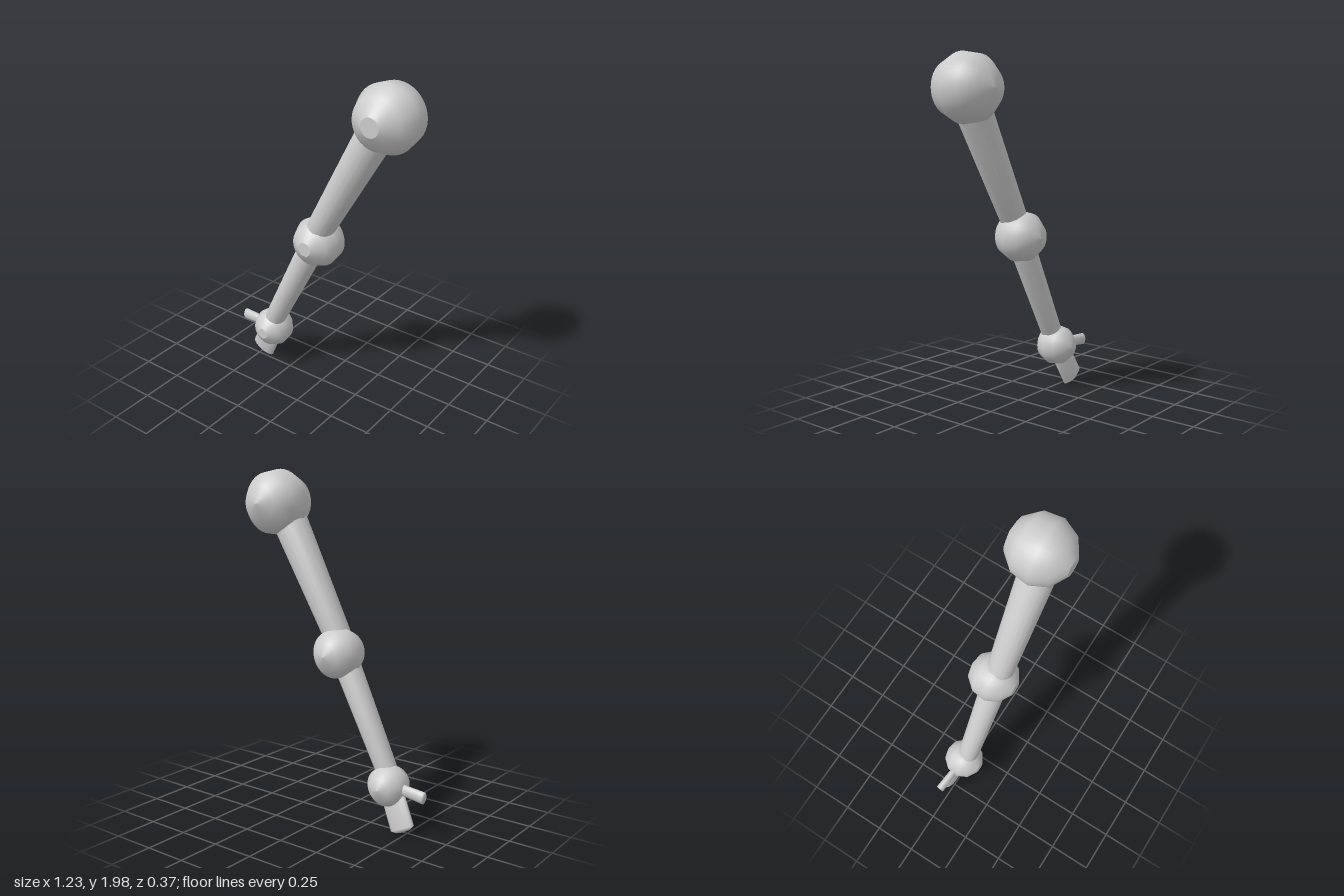
import * as THREE from 'three';

const material = new THREE.MeshStandardMaterial({ color: 0xcccccc });
const v = (x, y, z) => new THREE.Vector3(x, y, z);

// Ball turned around z: eleven-sided meridian, flat facet in front
function joint(name, x, y, r) {
  const profile = [];
  for (let i = 0; i <= 5; i++) {
    const a = i * 2 * Math.PI / 11;
    profile.push(new THREE.Vector2(r * Math.sin(a), -r * Math.cos(a)));
  }
  const geo = new THREE.LatheGeometry(profile, 40);
  // close the front facet
  const cap = new THREE.CircleGeometry(profile[5].x, 40);
  const ball = new THREE.Mesh(geo, material);
  const face = new THREE.Mesh(cap, material);
  geo.rotateX(Math.PI / 2);
  cap.translate(0, 0, profile[5].y);
  ball.name = name + 'Ball';
  face.name = name + 'Facet';
  const group = new THREE.Group();
  group.name = name;
  group.add(ball, face);
  group.position.set(x, y, 0);
  return group;
}

// Tapered rod from a to b; depth flattens it towards z, bulge rounds the far end
function rod(name, a, b, ra, rb, depth = 1, bulge = 0) {
  const length = a.distanceTo(b);
  const points = [new THREE.Vector2(0, 0), new THREE.Vector2(ra, 0), new THREE.Vector2(rb, length)];
  if (bulge) points.push(new THREE.Vector2(rb * 0.6, length + bulge * 0.75));
  points.push(new THREE.Vector2(0, length + bulge));
  const geo = new THREE.LatheGeometry(points, 20);
  geo.scale(1, 1, depth);
  const mesh = new THREE.Mesh(geo, material);
  mesh.name = name;
  const dir = b.clone().sub(a).normalize();
  const side = dir.clone().cross(v(0, 0, 1)).normalize();
  const front = side.clone().cross(dir);
  mesh.quaternion.setFromRotationMatrix(new THREE.Matrix4().makeBasis(side, dir, front));
  mesh.position.copy(a);
  return mesh;
}

export function createModel() {
  const arm = new THREE.Group();
  arm.name = 'arm';
  arm.add(
    // ball joints
    joint('shoulder', 0.42, 1.81, 0.191),
    joint('elbow', -0.02, 0.98, 0.148),
    joint('wrist', -0.37, 0.27, 0.12),
    // limbs, set slightly forward of the joints
    rod('upperArm', v(0.41, 1.81, 0.027), v(-0.045, 0.98, 0.025), 0.105, 0.075),
    rod('forearm', v(-0.04, 0.96, 0.024), v(-0.385, 0.27, 0.017), 0.077, 0.06),
    // flattened hand and thumb
    rod('hand', v(-0.38, 0.27, 0.0), v(-0.488, 0.052, -0.033), 0.078, 0.08, 0.4, 0.022),
    rod('thumb', v(-0.4, 0.272, -0.002), v(-0.615, 0.257, -0.022), 0.03, 0.035, 0.7)
  );
  return arm;
}
